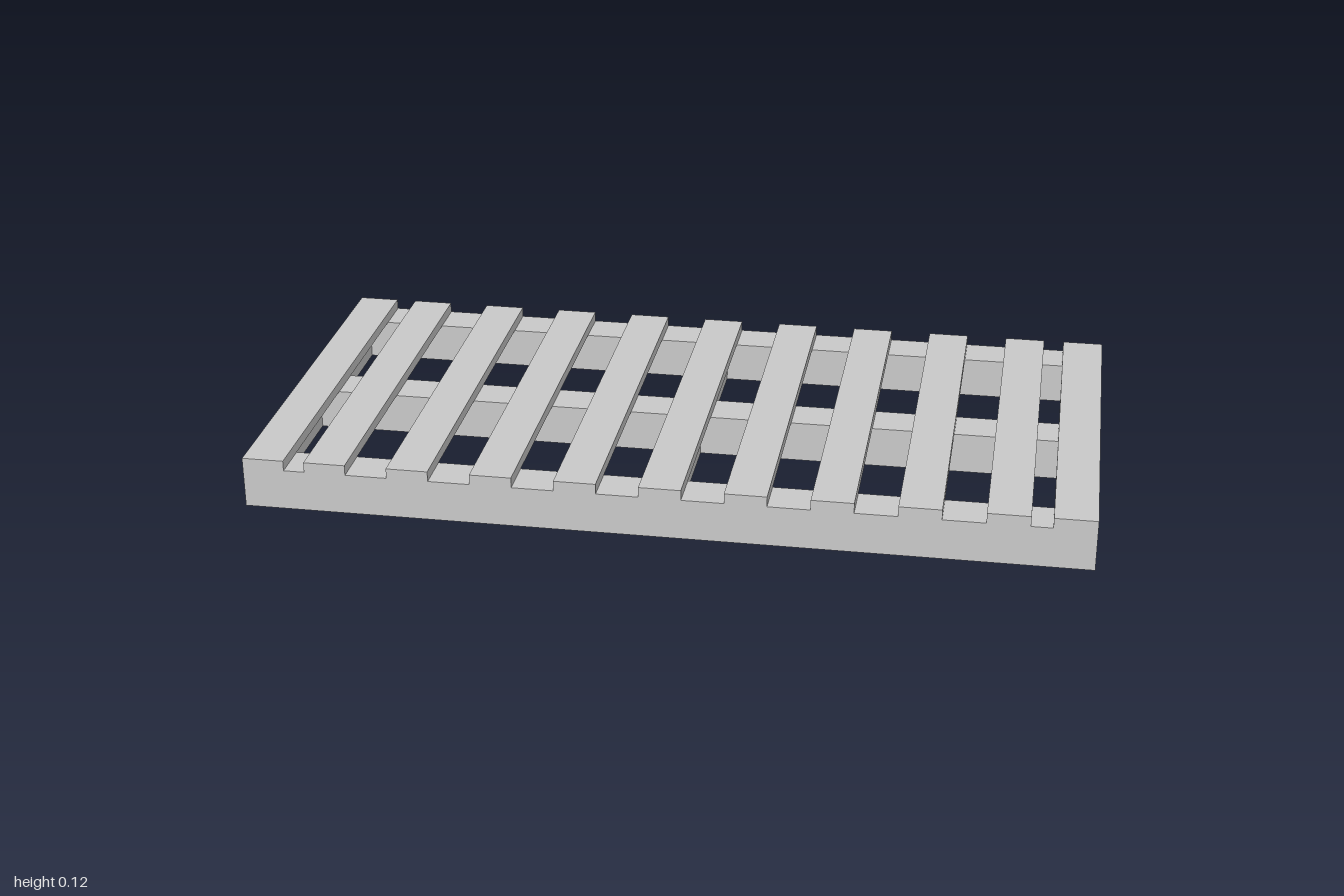
import * as THREE from 'three';

const LENGTH = 2, DEPTH = 1, FRAME_H = 0.1, SLAT_H = 0.025, SLAT_W = 0.1;

// Closed rectangle given by its edges
function rectangle(PathType, x0, x1, y0, y1) {
  const p = new PathType();
  p.moveTo(x0, y0);
  p.lineTo(x1, y0);
  p.lineTo(x1, y1);
  p.lineTo(x0, y1);
  p.closePath();
  return p;
}

export function createModel() {
  const group = new THREE.Group();
  group.name = 'slattedPallet';
  const material = new THREE.MeshStandardMaterial({ color: 0xcccccc, flatShading: true });

  // Base frame: wide long rails, thin cross bars, four openings
  const outline = rectangle(THREE.Shape, -LENGTH / 2, LENGTH / 2, -DEPTH / 2, DEPTH / 2);
  for (const [x0, x1] of [[-0.95, -0.025], [0.025, 0.95]]) {
    for (const [z0, z1] of [[-0.4, -0.05], [0.05, 0.4]]) {
      outline.holes.push(rectangle(THREE.Path, x0, x1, z0, z1));
    }
  }
  const frameGeometry = new THREE.ExtrudeGeometry(outline, { depth: FRAME_H, bevelEnabled: false });
  frameGeometry.rotateX(-Math.PI / 2);
  const frame = new THREE.Mesh(frameGeometry, material);
  frame.name = 'baseFrame';
  group.add(frame);

  // Deck slats: evenly spaced, with one more flush at each end
  const slats = new THREE.Group();
  slats.name = 'deckSlats';
  const slatGeometry = new THREE.BoxGeometry(SLAT_W, SLAT_H, DEPTH);
  const positions = [-0.95, 0.95];
  for (let i = -4; i <= 4; i++) positions.push(i * 0.2);
  for (const x of positions) {
    const slat = new THREE.Mesh(slatGeometry, material);
    slat.name = Math.abs(x) > 0.9 ? 'endSlat' : 'slat';
    slat.position.set(x, FRAME_H + SLAT_H / 2, 0);
    slats.add(slat);
  }
  group.add(slats);

  return group;
}
